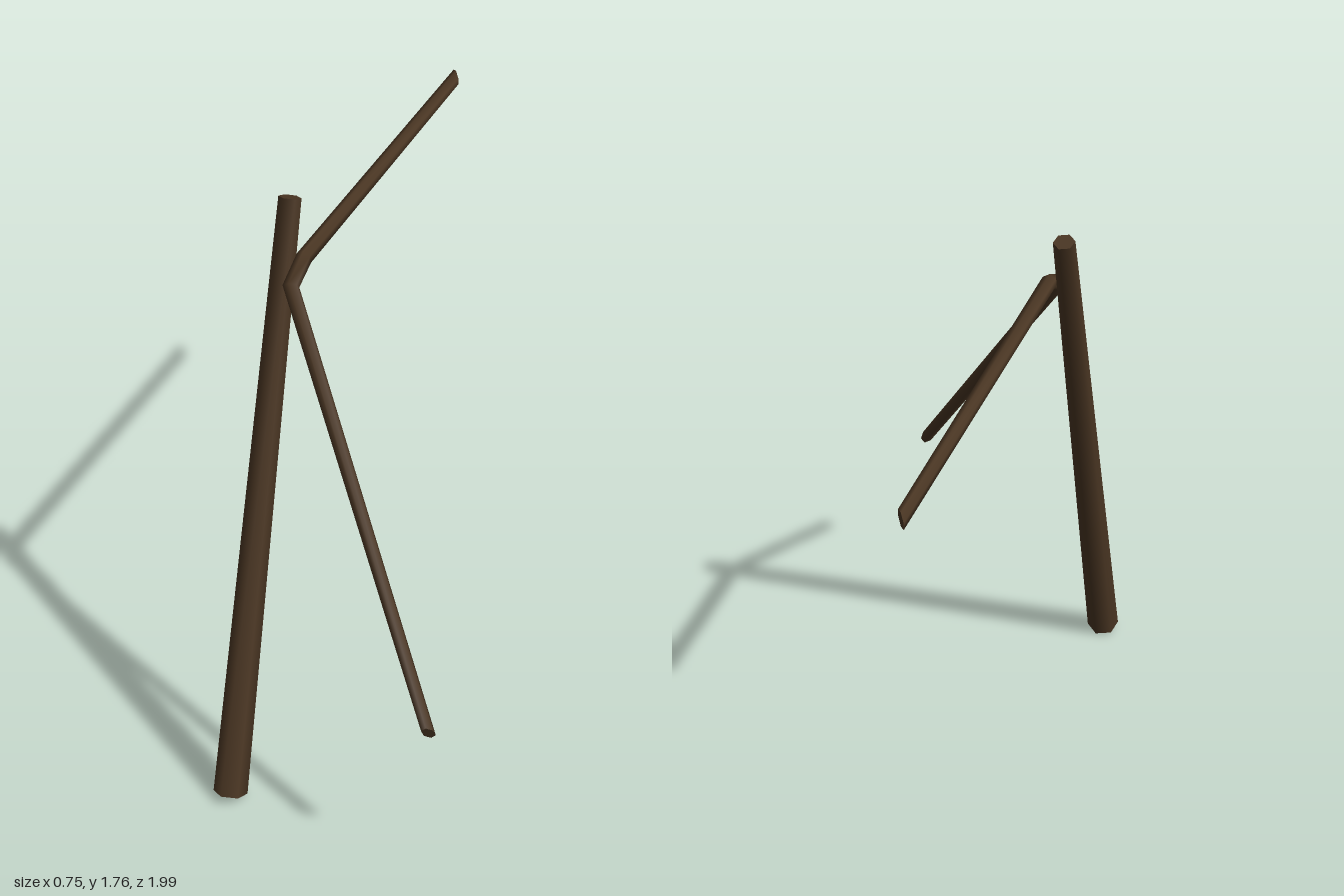
import * as THREE from 'three';

const SIDES = 6;
const V = (x, y, z) => new THREE.Vector3(x, y, z);

// Six-sided limb swept through centre points; ends may be cut at a slant.
function limb(points, radii, ref, startCut, endCut) {
  const last = points.length - 1;
  const dirs = points.slice(1).map((p, i) => p.clone().sub(points[i]).normalize());

  // first ring, square to the first segment
  const u = ref.clone().addScaledVector(dirs[0], -ref.dot(dirs[0])).normalize();
  const v = dirs[0].clone().cross(u);
  let ring = [];
  for (let j = 0; j < SIDES; j++) {
    const a = (j / SIDES) * Math.PI * 2;
    ring.push(u.clone().multiplyScalar(Math.cos(a)).addScaledVector(v, Math.sin(a)));
  }

  // slide the ring along each segment onto the mitre or cut plane
  const pos = [], idx = [], rings = [];
  points.forEach((p, i) => {
    const d = dirs[Math.max(i - 1, 0)];
    let n = d;
    if (i === 0) n = startCut || d;
    else if (i === last) n = endCut || d;
    else n = dirs[i - 1].clone().add(dirs[i]);
    ring = ring.map(o => o.clone().addScaledVector(d, -o.dot(n) / d.dot(n)));
    rings.push(ring.map(o => p.clone().addScaledVector(o, radii[i])));
    rings[i].forEach(q => pos.push(q.x, q.y, q.z));
  });

  // sides
  for (let i = 0; i < last; i++) {
    for (let j = 0; j < SIDES; j++) {
      const k = (j + 1) % SIDES;
      const a = i * SIDES + j, b = i * SIDES + k;
      idx.push(a, b, b + SIDES, a, b + SIDES, a + SIDES);
    }
  }

  // flat caps with their own corners, so their rims stay sharp
  [rings[0], rings[last]].forEach((r, end) => {
    const base = pos.length / 3;
    r.forEach(q => pos.push(q.x, q.y, q.z));
    for (let j = 1; j < SIDES - 1; j++) {
      if (end) idx.push(base, base + j, base + j + 1);
      else idx.push(base, base + j + 1, base + j);
    }
  });

  const g = new THREE.BufferGeometry();
  g.setAttribute('position', new THREE.Float32BufferAttribute(pos, 3));
  g.setIndex(idx);
  g.computeVertexNormals();
  return g;
}

export function createModel() {
  const group = new THREE.Group();
  group.name = 'leaningPoles';
  const wood = new THREE.MeshStandardMaterial({ color: 0x4a3623 });
  wood.name = 'darkWood';

  const add = (name, geometry) => {
    const mesh = new THREE.Mesh(geometry, wood);
    mesh.name = name;
    group.add(mesh);
  };

  // thick leaning post, narrower at the top
  add('post', limb(
    [V(-0.333, 0.018, 0.868), V(-0.342, 1.748, 0.288)],
    [0.051, 0.033], V(-0.17, 0, 0.98)));

  // thin bent branch: long back arm, short elbow, falling front arm
  add('branch', limb(
    [V(-0.325, 1.54, -0.968), V(-0.285, 1.584, 0.33),
      V(-0.287, 1.54, 0.42), V(0.352, 0.542, 0.985)],
    [0.021, 0.024, 0.023, 0.019], V(0, 1, 0),
    V(-0.83, 0, 0.55), V(0.3, -0.3, 0.9)));

  return group;
}
